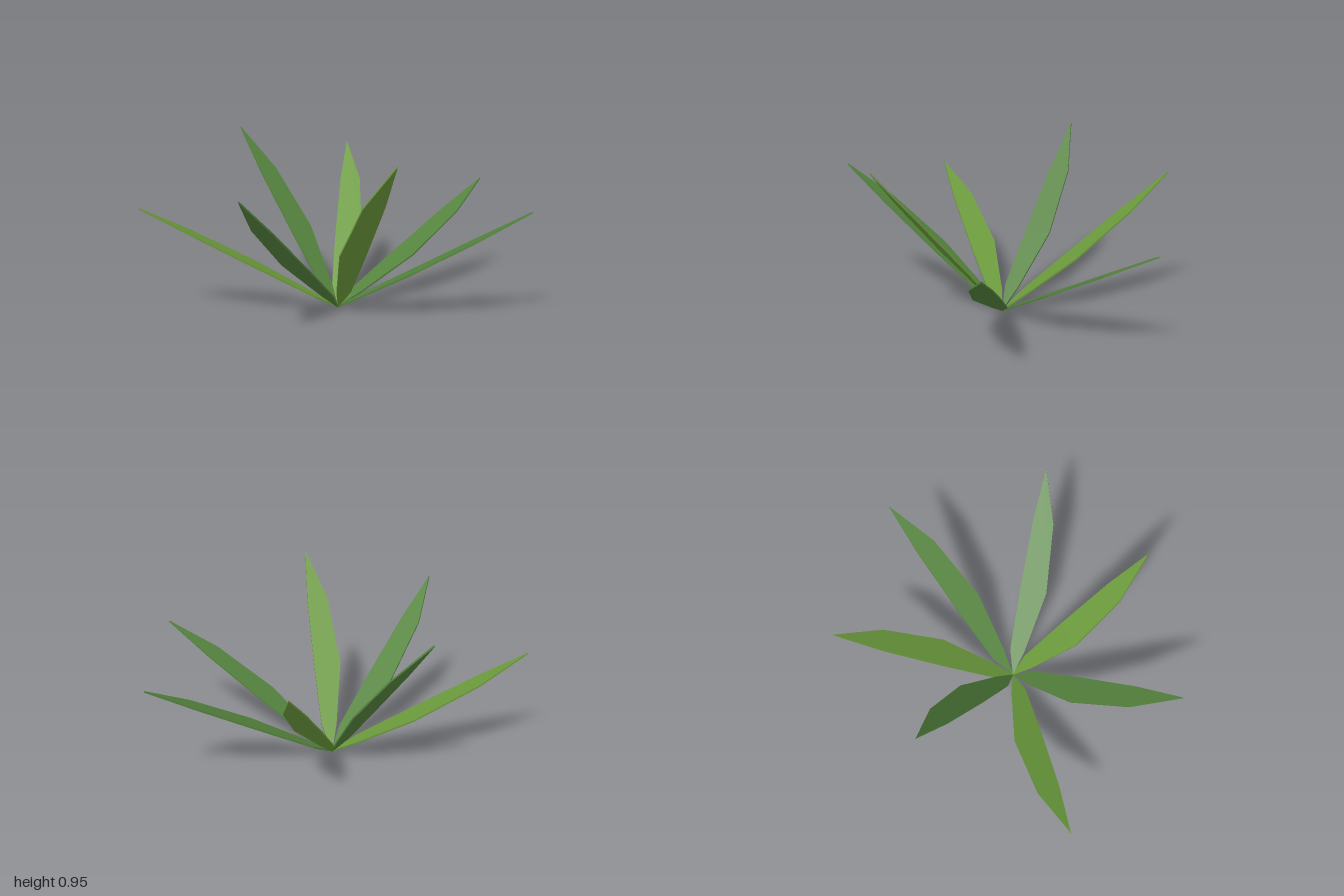
import * as THREE from 'three';

const THICK = 0.009;
const BASE = new THREE.Vector3(-0.07, 0.005, -0.05);

// Blade tips, running round the plant
const TIPS = [
  [0.53, 0.62, 0.83], [-0.32, 0.95, 0.70], [-0.95, 0.80, 0.29], [-1.0, 0.62, -0.58],
  [-0.17, 0.95, -0.83], [0.575, 0.80, -0.735], [0.995, 0.62, 0.03],
];

// Stations along a blade: fraction of length, sideways sweep, half width
const STATIONS = [[0.125, 0.003, 0.043], [0.42, 0.04, 0.078], [0.75, 0.033, 0.06]];

// Thin pointed leaf with a slight sideways sweep, lying along +x
function bladeGeometry(length) {
  const right = STATIONS.map(([t, c, w]) => new THREE.Vector2(t * length, c - w));
  const left = STATIONS.map(([t, c, w]) => new THREE.Vector2(t * length, c + w)).reverse();
  const outline = [new THREE.Vector2(0, 0), ...right, new THREE.Vector2(length, 0), ...left];
  const geo = new THREE.ExtrudeGeometry(new THREE.Shape(outline), { depth: THICK, bevelEnabled: false });
  return geo.translate(0, 0, -THICK / 2);
}

export function createModel() {
  const group = new THREE.Group();
  group.name = 'leafyPlant';
  const deepGreen = new THREE.MeshStandardMaterial({ color: 0x55843e });
  deepGreen.name = 'deepGreen';
  const lightGreen = new THREE.MeshStandardMaterial({ color: 0x6b9a3c });
  lightGreen.name = 'lightGreen';

  // Blades fan out from one root, alternating between the two greens
  TIPS.forEach((tip, i) => {
    const along = new THREE.Vector3(...tip).sub(BASE);
    const length = along.length();
    along.normalize();
    const across = new THREE.Vector3(-along.z, 0, along.x).normalize();
    const normal = new THREE.Vector3().crossVectors(along, across);
    const geo = bladeGeometry(length);
    geo.applyMatrix4(new THREE.Matrix4().makeBasis(along, across, normal).setPosition(BASE));
    const blade = new THREE.Mesh(geo, i % 2 ? lightGreen : deepGreen);
    blade.name = `blade${i + 1}`;
    group.add(blade);
  });
  return group;
}
